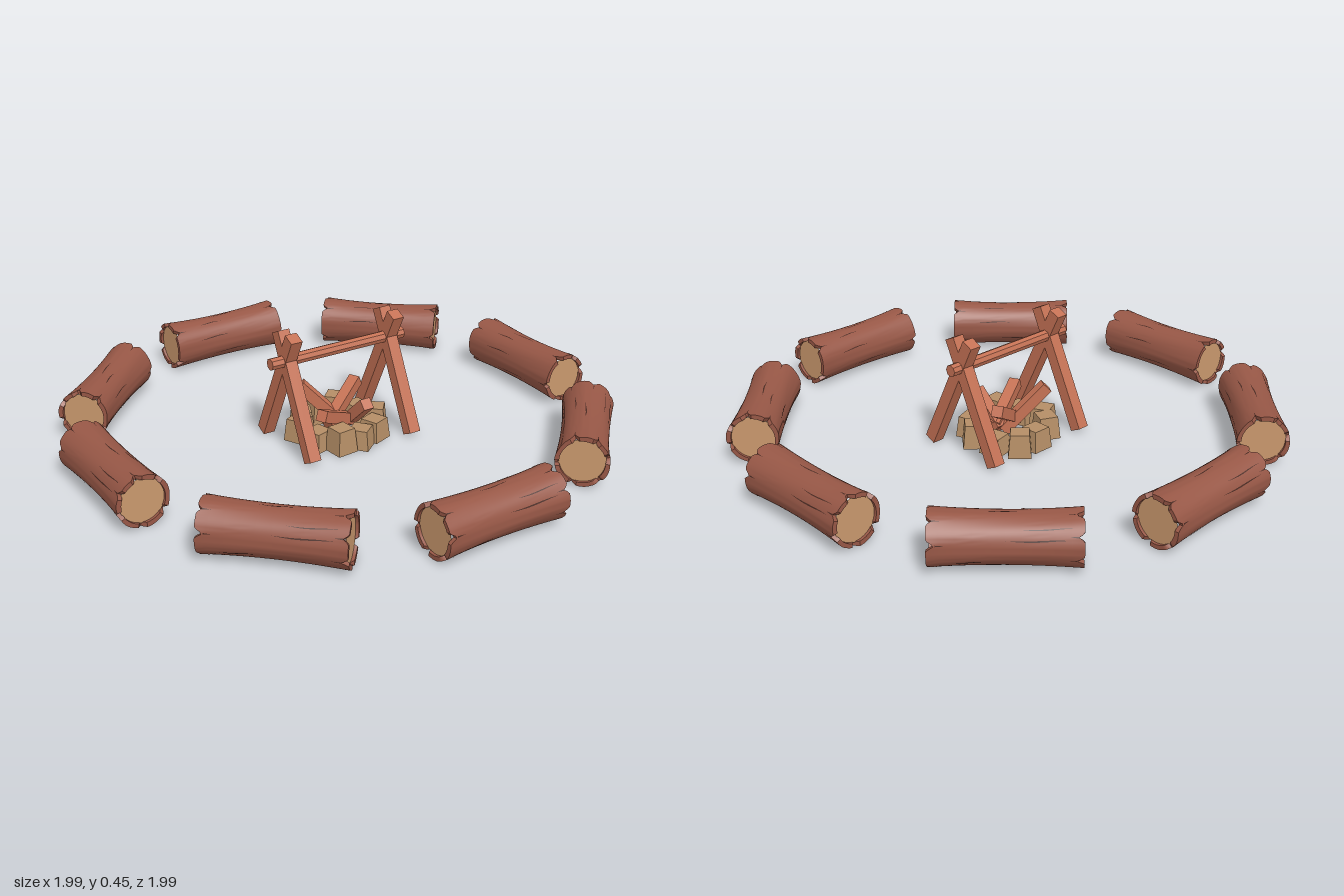
import * as THREE from 'three';
import { toCreasedNormals } from 'three/addons/utils/BufferGeometryUtils.js';

const mat = (name, color, extra = {}) => {
  const m = new THREE.MeshStandardMaterial({ color, ...extra });
  m.name = name;
  return m;
};
const bark = mat('bark brown', 0x975746);
const crackDark = mat('crack dark brown', 0x4a2a22, { side: THREE.DoubleSide });
const cutWood = mat('cut wood tan', 0xc9986d);
const stickWood = mat('stick orange brown', 0xc47154, { flatShading: true });
const stoneTan = mat('stone tan', 0xb58e66, { flatShading: true });

const HALF = 0.24; // half the log length
const rad = THREE.MathUtils.degToRad;

function mesh(name, geometry, material) {
  const m = new THREE.Mesh(geometry, material);
  m.name = name;
  return m;
}

// Bark radius at axial position t and angle phi: waisted, slightly lobed
function barkRadius(t, phi) {
  const u = t / HALF;
  return (0.085 + 0.009 * u * u) * (1 + 0.012 * Math.sin(3 * phi + 1 + u) + 0.008 * Math.sin(7 * phi + 2 * u));
}

// Splits in the two log ends: angle, half width (degrees), depth
const splits = {
  '-1': [[-110, 9, 0.025], [-60, 8, 0.016], [-12, 10, 0.028], [48, 9, 0.018], [110, 9, 0.025], [172, 8, 0.02]],
  '1': [[-130, 9, 0.02], [-78, 10, 0.028], [-30, 8, 0.018], [20, 9, 0.024], [84, 9, 0.02], [145, 10, 0.026]],
};
function splitDepth(end, phi) {
  let depth = 0;
  for (const [a, w, d] of splits[end]) {
    const diff = Math.abs(Math.atan2(Math.sin(phi - rad(a)), Math.cos(phi - rad(a))));
    depth = Math.max(depth, d * (1 - diff / rad(w)));
  }
  return depth;
}

// Hollow bark shell turned around y, with its rims notched
function barkGeometry() {
  const rim = (s) => [[0.078, 0.2 * s], [0.078, HALF * s], [0.094, HALF * s]];
  const wall = [-0.2, -0.15, -0.1, -0.05, 0, 0.05, 0.1, 0.15, 0.2].map((t) => [0.09, t]);
  const profile = [...rim(-1), ...wall, ...rim(1).reverse()].map(([r, t]) => new THREE.Vector2(r, t));
  const geo = new THREE.LatheGeometry(profile, 72);
  const pos = geo.attributes.position;
  for (let i = 0; i < pos.count; i++) {
    const t = pos.getY(i);
    const phi = Math.atan2(pos.getX(i), pos.getZ(i));
    const inner = Math.hypot(pos.getX(i), pos.getZ(i)) < 0.08;
    const r = inner ? 0.078 : barkRadius(t, phi);
    const end = Math.sign(t);
    const pull = Math.abs(t) > 0.23 ? splitDepth(end, phi) : 0;
    pos.setXYZ(i, r * Math.sin(phi), t - end * pull, r * Math.cos(phi));
  }
  return toCreasedNormals(geo, 0.6);
}

// Thin pointed sliver lying on the bark from t0 to t1
function crackGeometry(phiDeg, t0, t1, width, openEnd) {
  const points = [];
  const index = [];
  const steps = 6;
  for (let i = 0; i <= steps; i++) {
    const f = i / steps;
    const t = t0 + (t1 - t0) * f;
    const half = width * (openEnd ? f : Math.sin(Math.PI * f)) / 2;
    for (const s of [-1, 1]) {
      const phi = rad(phiDeg) + 0.03 * Math.sin(f * 5) * (openEnd ? 0 : 1) + (s * half) / 0.09;
      const r = barkRadius(t, phi) + 0.0015;
      points.push(r * Math.sin(phi), t, r * Math.cos(phi));
    }
    if (i < steps) index.push(2 * i, 2 * i + 1, 2 * i + 2, 2 * i + 1, 2 * i + 3, 2 * i + 2);
  }
  const geo = new THREE.BufferGeometry();
  geo.setAttribute('position', new THREE.Float32BufferAttribute(points, 3));
  geo.setIndex(index);
  geo.computeVertexNormals();
  return geo;
}

// Parts of a log are shared by all eight
function makeLog() {
  const log = new THREE.Group();
  log.name = 'seatLog';
  log.add(mesh('bark', barkGeometry(), bark));
  for (const end of [-1, 1]) {
    const cut = mesh('cutEnd', new THREE.CircleGeometry(0.081, 36), cutWood);
    cut.rotation.x = -end * Math.PI / 2;
    cut.position.y = end * 0.229;
    log.add(cut);
    for (const [a, w, d] of splits[end]) {
      log.add(mesh('endSplit', crackGeometry(a, end * (HALF - d - 0.03), end * (HALF - d), 0.005, true), crackDark));
    }
  }
  const cracks = [[-22, 0.0, 0.2, 0.005], [-45, 0.04, 0.21, 0.004], [-92, -0.06, 0.06, 0.005],
    [-118, 0.02, 0.12, 0.004], [30, -0.17, -0.05, 0.005], [150, -0.1, 0.08, 0.005], [-160, 0.0, 0.14, 0.004]];
  for (const c of cracks) log.add(mesh('barkCrack', crackGeometry(...c), crackDark));
  log.rotation.z = -Math.PI / 2;
  return log;
}

// Square beam between two points
function beam(name, a, b, width) {
  const from = new THREE.Vector3(...a);
  const dir = new THREE.Vector3(...b).sub(from);
  const m = mesh(name, new THREE.BoxGeometry(width, width, dir.length()), stickWood);
  m.position.copy(from).addScaledVector(dir, 0.5);
  m.lookAt(new THREE.Vector3(...b));
  return m;
}

export function createModel() {
  const model = new THREE.Group();
  model.name = 'campfireCircle';

  // Ring of eight seat logs
  const log = makeLog();
  for (let i = 0; i < 8; i++) {
    const seat = new THREE.Group();
    seat.name = 'seat';
    const copy = log.clone();
    copy.position.set(0, 0.104, 0.899);
    seat.add(copy);
    seat.rotation.y = (i * Math.PI) / 4;
    model.add(seat);
  }

  // Spit: two crossed pairs of legs and a bar
  for (const x of [-0.211, 0.222]) {
    for (const s of [-1, 1]) {
      model.add(beam('spitLeg', [x, 0.018, -s * 0.163], [x, 0.449, s * 0.045], 0.046));
    }
  }
  const bar = mesh('spitBar', new THREE.CylinderGeometry(0.022, 0.022, 0.566, 8), stickWood);
  bar.rotation.set(Math.PI / 8, 0, Math.PI / 2, 'ZXY');
  bar.rotation.set(0, 0, Math.PI / 2);
  bar.position.y = 0.351;
  model.add(bar);

  // Fire ring stones: x, z, turn in degrees
  const stones = [[0, -0.14, 0], [0.08, -0.14, 45], [0.13, -0.065, 12], [0.145, 0.03, 50], [0.095, 0.1, 20],
    [0.015, 0.13, 38], [-0.065, 0.125, 5], [-0.12, 0.055, 15], [-0.14, -0.04, 25], [-0.095, -0.1, 65]];
  stones.forEach(([x, z, turn], i) => {
    const h = 0.08 + 0.012 * Math.sin(i * 2.4);
    const geo = new THREE.CylinderGeometry(0.049, 0.06, h, 4).rotateY(Math.PI / 4);
    const stone = mesh('fireStone', geo, stoneTan);
    stone.position.set(x, h / 2 + 0.008, z);
    stone.rotation.y = rad(turn);
    model.add(stone);
  });

  // Firewood leaning on the stones
  const firewood = [
    [[-0.11, 0.2, -0.085], [0.03, 0.04, 0]],
    [[0.13, 0.17, -0.075], [-0.05, 0.06, 0.01]],
    [[0.045, 0.165, 0.125], [0.045, 0.05, 0]],
    [[-0.13, 0.15, 0.095], [0.06, 0.06, 0.01]],
  ];
  for (const [a, b] of firewood) model.add(beam('firewood', a, b, 0.042));

  return model;
}
